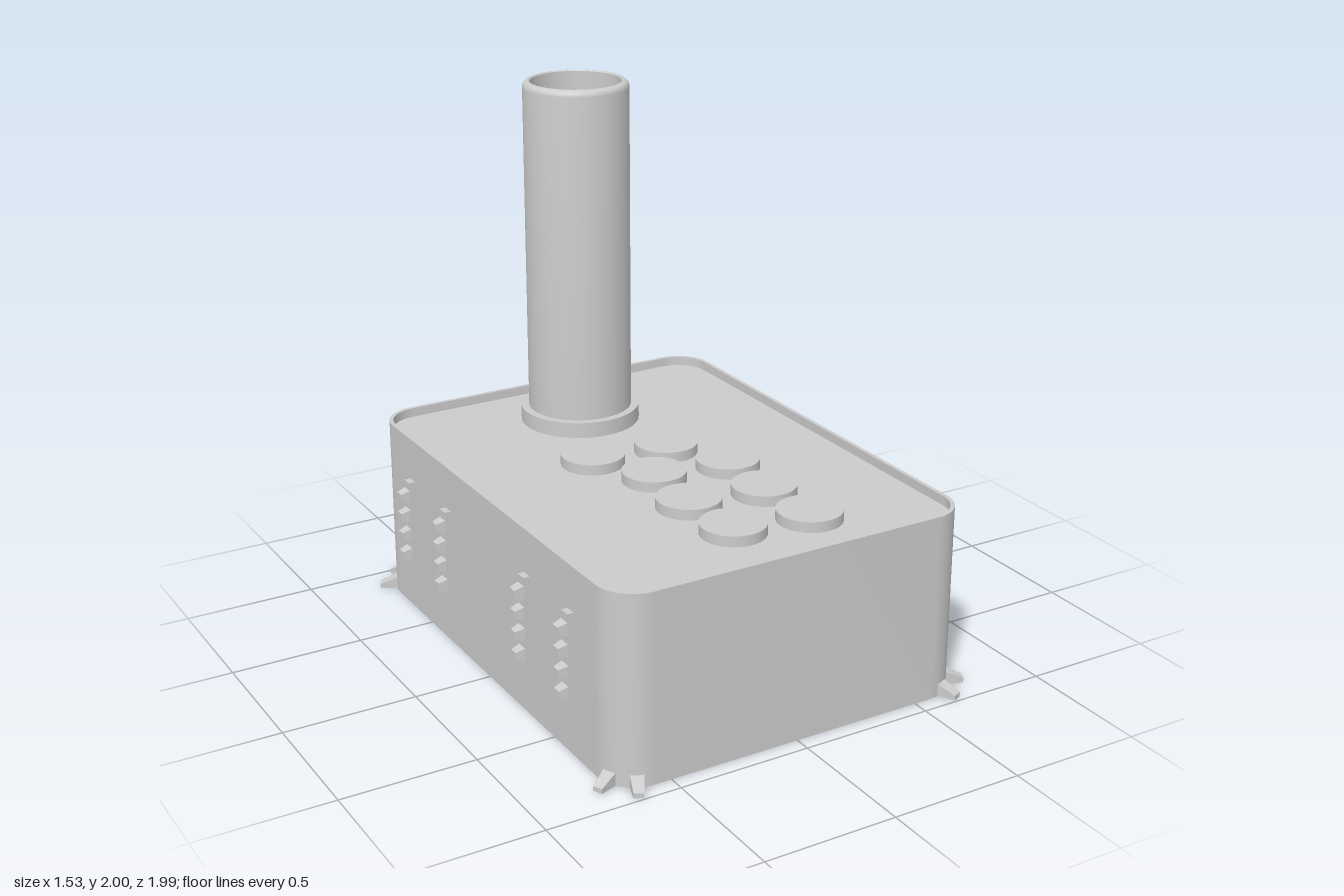
import * as THREE from 'three';
import { toCreasedNormals } from 'three/addons/utils/BufferGeometryUtils.js';

const HALF_X = 0.705, HALF_Z = 0.94, CORNER = 0.14, WALL = 0.015;
const BODY_H = 0.705, PANEL_Y = 0.67;

const material = new THREE.MeshStandardMaterial({ color: 0xcccccc });

function addMesh(parent, name, geometry, x = 0, y = 0, z = 0) {
  const mesh = new THREE.Mesh(geometry, material);
  mesh.name = name;
  mesh.position.set(x, y, z);
  parent.add(mesh);
  return mesh;
}

// Rounded rectangle outline, inset from the body's outer footprint
function footprint(inset, Type = THREE.Shape) {
  const a = HALF_X - inset, b = HALF_Z - inset, r = CORNER - inset;
  const p = new Type();
  p.absarc(a - r, b - r, r, 0, Math.PI / 2);
  p.absarc(r - a, b - r, r, Math.PI / 2, Math.PI);
  p.absarc(r - a, r - b, r, Math.PI, Math.PI * 1.5);
  p.absarc(a - r, r - b, r, Math.PI * 1.5, Math.PI * 2);
  p.closePath();
  return p;
}

function extrudeUp(shape, depth) {
  const g = new THREE.ExtrudeGeometry(shape, { depth, bevelEnabled: false, curveSegments: 10 });
  return toCreasedNormals(g.rotateX(-Math.PI / 2), 0.5);
}

// Block pointing along +x from the origin, with a narrower tip
function taperedBlock(length, height, width, tipHeight, tipWidth, flatBottom) {
  const g = new THREE.BoxGeometry(length, 1, 1).translate(length / 2, 0, 0);
  const p = g.attributes.position;
  for (let i = 0; i < p.count; i++) {
    const tip = p.getX(i) > length / 2;
    const y = p.getY(i) + (flatBottom ? 0.5 : 0);
    p.setY(i, y * (tip ? tipHeight : height));
    p.setZ(i, p.getZ(i) * (tip ? tipWidth : width));
  }
  g.computeVertexNormals();
  return g;
}

export function createModel() {
  const model = new THREE.Group();
  model.name = 'controlBox';

  // Open-bottomed shell with the top panel set just below its rim
  const walls = footprint(0);
  walls.holes.push(footprint(WALL, THREE.Path));
  addMesh(model, 'bodyWalls', extrudeUp(walls, BODY_H));
  addMesh(model, 'topPanel', extrudeUp(footprint(WALL), 0.015), 0, PANEL_Y - 0.015, 0);

  // Hollow column with a rounded lip
  const R = 0.198, RI = 0.17, lip = 0.024;
  const profile = [new THREE.Vector2(RI, PANEL_Y), new THREE.Vector2(RI, 1.996), new THREE.Vector2(RI + 0.004, 2)];
  profile.reverse();
  const outer = [new THREE.Vector2(R, PANEL_Y)];
  for (let i = 0; i <= 6; i++) {
    const t = (i / 6) * Math.PI / 2;
    outer.push(new THREE.Vector2(R - lip + lip * Math.cos(t), 2 - lip + lip * Math.sin(t)));
  }
  const column = toCreasedNormals(new THREE.LatheGeometry([...outer, ...profile.slice(1)], 48), 0.5);
  addMesh(model, 'column', column, 0, 0, -0.6);

  // Collar around the column's foot
  const collar = new THREE.Shape().absarc(0, 0, 0.228, 0, Math.PI * 2);
  collar.holes.push(new THREE.Path().absarc(0, 0, R - 0.005, 0, Math.PI * 2));
  const collarGeometry = new THREE.ExtrudeGeometry(collar, { depth: 0.06, bevelEnabled: false, curveSegments: 48 });
  addMesh(model, 'columnCollar', toCreasedNormals(collarGeometry.rotateX(-Math.PI / 2), 0.5), 0, PANEL_Y, -0.6);

  // Eight round buttons
  const buttons = [
    [-0.185, -0.16], [0.107, -0.125], [-0.07, 0.09], [0.222, 0.125],
    [-0.087, 0.36], [0.204, 0.396], [-0.07, 0.623], [0.22, 0.66],
  ];
  const buttonGeometry = new THREE.CylinderGeometry(0.119, 0.119, 0.04, 40);
  buttons.forEach(([x, z]) => addMesh(model, 'button', buttonGeometry, x, PANEL_Y + 0.02, z));

  // Toothed strips: five on the left side, four on the right
  const stripGeometry = new THREE.BoxGeometry(0.028, 0.355, 0.044);
  const toothGeometry = taperedBlock(0.034, 0.05, 0.046, 0.028, 0.034, false);
  for (const side of [1, -1]) {
    for (let i = -2; i <= 2; i++) {
      if (side < 0 && i === 0) continue;
      const strip = new THREE.Group();
      strip.name = 'toothedStrip';
      addMesh(strip, 'stripBack', stripGeometry, 0.01, 0.3625, 0);
      for (let k = 0; k < 4; k++) addMesh(strip, 'tooth', toothGeometry, 0.024, 0.247 + k * 0.079, 0);
      strip.position.set(side * HALF_X, 0, i * 0.315);
      strip.rotation.y = side > 0 ? 0 : Math.PI;
      model.add(strip);
    }
  }

  // Two splayed wedge feet on each corner
  const footGeometry = taperedBlock(0.073, 0.05, 0.05, 0.018, 0.036, true);
  for (const sx of [1, -1]) for (const sz of [1, -1]) for (const deg of [25, 65]) {
    const a = THREE.MathUtils.degToRad(deg);
    const dx = sx * Math.cos(a), dz = sz * Math.sin(a), r = CORNER - 0.008;
    const foot = addMesh(model, 'foot', footGeometry,
      sx * (HALF_X - CORNER) + dx * r, 0, sz * (HALF_Z - CORNER) + dz * r);
    foot.rotation.y = Math.atan2(-dz, dx);
  }

  return model;
}
